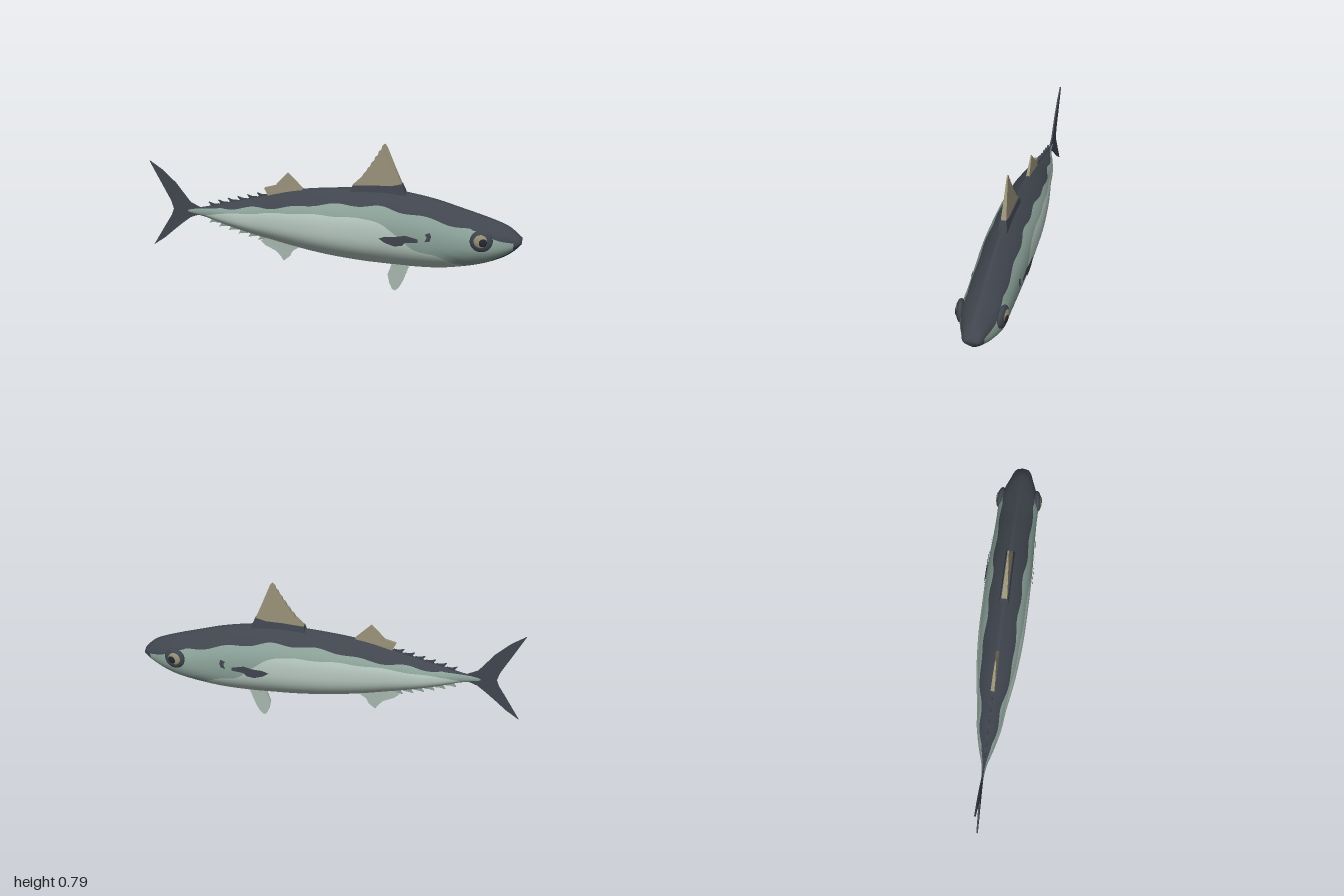
import * as THREE from 'three';

const mat = (name, color, side = THREE.FrontSide) =>
  Object.assign(new THREE.MeshStandardMaterial({ color, side }), { name });

// Body stations: x, back height, belly height, half width, back/flank edge, flank/belly edge
const STATIONS = [
  [-0.79, 0.355, 0.328, 0.004, 0.351, 0.332],
  [-0.70, 0.370, 0.315, 0.012, 0.362, 0.325],
  [-0.60, 0.398, 0.285, 0.040, 0.378, 0.350],
  [-0.50, 0.425, 0.258, 0.063, 0.392, 0.366],
  [-0.40, 0.452, 0.235, 0.074, 0.408, 0.380],
  [-0.30, 0.482, 0.215, 0.090, 0.420, 0.395],
  [-0.20, 0.508, 0.195, 0.104, 0.436, 0.408],
  [0.00, 0.537, 0.165, 0.120, 0.470, 0.420],
  [0.20, 0.553, 0.150, 0.123, 0.480, 0.420],
  [0.30, 0.556, 0.148, 0.123, 0.482, 0.408],
  [0.38, 0.552, 0.146, 0.122, 0.470, 0.350],
  [0.46, 0.542, 0.147, 0.119, 0.458, 0.285],
  [0.58, 0.520, 0.153, 0.114, 0.438, 0.255],
  [0.68, 0.493, 0.168, 0.111, 0.415, 0.200],
  [0.80, 0.460, 0.197, 0.108, 0.395, 0.212],
  [0.88, 0.435, 0.228, 0.086, 0.360, 0.245],
  [0.94, 0.410, 0.262, 0.062, 0.345, 0.278],
  [0.98, 0.378, 0.298, 0.048, 0.342, 0.312],
  [1.00, 0.358, 0.322, 0.034, 0.343, 0.330],
];
const spline = new THREE.CubicInterpolant(
  STATIONS.map(s => s[0]), STATIONS.flatMap(s => s.slice(1)), 5);

function station(x) {
  const [top, bottom, half, e1, e2] = spline.evaluate(x);
  const wave = x > -0.6 && x < 0.75 ? 0.005 * Math.sin(x * 27) : 0;
  const edge1 = THREE.MathUtils.clamp(e1 + wave, bottom + 0.008, top - 0.003);
  const edge2 = THREE.MathUtils.clamp(e2 - wave * 0.6, bottom + 0.003, edge1 - 0.003);
  return { top, bottom, half, edge1, edge2 };
}

// Half width of the body at a point of its side outline
function widthAt(x, y) {
  const s = station(x);
  const mid = s.bottom + 0.47 * (s.top - s.bottom);
  const u = y > mid ? (y - mid) / (s.top - mid) : (mid - y) / (mid - s.bottom);
  return s.half * Math.max(0, 1 - Math.pow(Math.min(u, 1), 2.6));
}

// Lofted body, with rows of faces following the colour bands
function makeBody(materials) {
  const COLS = 100, ROWS = [8, 6, 12];
  const half = ROWS[0] + ROWS[1] + ROWS[2], ring = half * 2;
  const position = [], bins = [[], [], []];
  const xs = [];
  for (let i = 0; i <= COLS; i++) {
    const x = -0.79 + 1.79 * i / COLS;
    xs.push(x);
    const s = station(x);
    const marks = [s.top, s.edge1, s.edge2, s.bottom];
    const ys = [s.top];
    ROWS.forEach((n, k) => {
      for (let r = 1; r <= n; r++) ys.push(THREE.MathUtils.lerp(marks[k], marks[k + 1], r / n));
    });
    for (let j = 0; j < ring; j++) {
      const y = ys[j <= half ? j : ring - j];
      position.push(x, y, widthAt(x, y) * (j <= half ? 1 : -1));
    }
  }
  for (let i = 0; i < COLS; i++) {
    for (let j = 0; j < ring; j++) {
      const row = j < half ? j : ring - 1 - j;
      let band = row < ROWS[0] ? 0 : row < ROWS[0] + ROWS[1] ? 1 : 2;
      if (xs[i] > 0.955 || (band === 2 && xs[i] > 0.84)) band = 0; // lips and chin
      else if (band === 2 && (xs[i] > 0.7 || xs[i] < -0.7)) band = 1;
      const a = i * ring + j, b = i * ring + (j + 1) % ring;
      bins[band].push(a, b, b + ring, a, b + ring, a + ring);
    }
  }
  // Blunt snout
  const tip = position.length / 3, last = COLS * ring;
  position.push(1, 0.34, 0);
  for (let j = 0; j < ring; j++) bins[0].push(tip, last + j, last + (j + 1) % ring);

  const geo = new THREE.BufferGeometry();
  geo.setAttribute('position', new THREE.Float32BufferAttribute(position, 3));
  geo.setIndex(bins.flat());
  let start = 0;
  bins.forEach((bin, k) => { geo.addGroup(start, bin.length, k); start += bin.length; });
  geo.computeVertexNormals();
  return new THREE.Mesh(geo, materials);
}

const shapeOf = pts => new THREE.Shape(pts.map(p => new THREE.Vector2(p[0], p[1])));

// Upright fin whose thickness goes from t0 at height y0 to t1 at height y1
function makeFin(name, pts, material, y0, t0, y1, t1) {
  const geo = new THREE.ExtrudeGeometry(shapeOf(pts), { depth: 1, bevelEnabled: false });
  const p = geo.attributes.position;
  for (let i = 0; i < p.count; i++) {
    const t = THREE.MathUtils.clamp((p.getY(i) - y0) / (y1 - y0), 0, 1);
    p.setZ(i, (p.getZ(i) - 0.5) * THREE.MathUtils.lerp(t0, t1, t));
  }
  geo.computeVertexNormals();
  const mesh = new THREE.Mesh(geo, material);
  mesh.name = name;
  return mesh;
}

// Thin plate laid on the flank
function makePatch(name, pts, material, side, lift) {
  const geo = new THREE.ShapeGeometry(shapeOf(pts));
  const p = geo.attributes.position;
  for (let i = 0; i < p.count; i++) p.setZ(i, side * (widthAt(p.getX(i), p.getY(i)) + lift));
  geo.computeVertexNormals();
  const mesh = new THREE.Mesh(geo, material);
  mesh.name = name;
  return mesh;
}

export function createModel() {
  const fish = new THREE.Group();
  fish.name = 'fish';
  const dark = mat('slate back', 0x40454e);
  const darkPlate = mat('slate fin', 0x40454e, THREE.DoubleSide);
  const flank = mat('grey green flank', 0x8aa198);
  const pale = mat('pale belly', 0xb6c7bf);
  const tan = mat('tan fin', 0x979078);
  const lowerFin = mat('pale fin', 0xa9bab2);
  const black = mat('black pupil', 0x24272c);

  const body = makeBody([dark, flank, pale]);
  body.name = 'body';
  fish.add(body);

  // Tail
  fish.add(makeFin('tailFin', [
    [-1, 0.605], [-0.92, 0.455], [-0.885, 0.39], [-0.872, 0.345], [-0.885, 0.31], [-0.92, 0.255],
    [-1, 0.125], [-0.93, 0.175], [-0.87, 0.228], [-0.82, 0.27], [-0.775, 0.305], [-0.71, 0.33],
    [-0.71, 0.36], [-0.775, 0.39], [-0.855, 0.492], [-0.93, 0.56],
  ], dark, 0, 0.008, 1, 0.008));

  // First dorsal fin with a ragged trailing edge
  const ragged = [];
  for (let i = 0; i <= 7; i++) {
    const t = i / 7;
    const x = 0.13 + 0.15 * Math.pow(t, 0.8), y = 0.565 + 0.215 * t;
    ragged.push([x, y], [x + 0.013, y + 0.012]);
  }
  fish.add(makeFin('firstDorsalFin',
    [[0.14, 0.53], [0.4, 0.53], [0.398, 0.56], [0.35, 0.67], [0.305, 0.78], ...ragged.reverse()],
    tan, 0.56, 0.03, 0.78, 0.006));
  fish.add(makeFin('firstDorsalBase',
    [[0.12, 0.53], [0.41, 0.53], [0.4, 0.56], [0.387, 0.59], [0.33, 0.575], [0.24, 0.572], [0.13, 0.562]],
    dark, 0.53, 0.05, 0.59, 0.03));

  // Second dorsal fin
  fish.add(makeFin('secondDorsalFin', [
    [-0.33, 0.465], [-0.14, 0.505], [-0.14, 0.52], [-0.18, 0.56], [-0.22, 0.6], [-0.25, 0.57],
    [-0.29, 0.525], [-0.35, 0.507], [-0.34, 0.487],
  ], tan, 0.5, 0.02, 0.6, 0.005));

  // Pelvic and anal fins
  fish.add(makeFin('pelvicFin', [
    [0.345, 0.17], [0.335, 0.13], [0.32, 0.09], [0.33, 0.04], [0.345, 0.008], [0.36, 0],
    [0.38, 0.018], [0.4, 0.055], [0.42, 0.11], [0.44, 0.17],
  ], lowerFin, 0, 0.004, 0.15, 0.014));
  fish.add(makeFin('analFin', [
    [-0.34, 0.23], [-0.375, 0.208], [-0.35, 0.185], [-0.29, 0.158], [-0.265, 0.13], [-0.25, 0.105],
    [-0.215, 0.135], [-0.2, 0.165], [-0.165, 0.19], [-0.17, 0.21],
  ], lowerFin, 0.1, 0.004, 0.2, 0.014));

  // Finlets along the tail stalk
  for (let i = 0; i < 6; i++) {
    const x = -0.66 + i * 0.055;
    const a = station(x), b = station(x + 0.05);
    fish.add(makeFin('upperFinlet',
      [[x, a.top - 0.012], [x + 0.05, b.top - 0.012], [x + 0.045, b.top], [x + 0.02, a.top + 0.012],
        [x - 0.008, a.top + 0.02], [x + 0.004, a.top + 0.004]], dark, 0, 0.01, 1, 0.01));
    fish.add(makeFin('lowerFinlet',
      [[x, a.bottom + 0.012], [x + 0.004, a.bottom - 0.004], [x - 0.008, a.bottom - 0.02],
        [x + 0.02, a.bottom - 0.014], [x + 0.045, b.bottom], [x + 0.05, b.bottom + 0.012]],
      flank, 0, 0.01, 1, 0.01));
  }

  // Paired details
  for (const side of [1, -1]) {
    fish.add(makePatch('pectoralFin', [
      [0.295, 0.33], [0.33, 0.343], [0.38, 0.346], [0.43, 0.357], [0.495, 0.342], [0.495, 0.325],
      [0.43, 0.318], [0.415, 0.3], [0.375, 0.294], [0.33, 0.308],
    ], darkPlate, side, 0.006));
    fish.add(makePatch('gillSpot', [
      [0.53, 0.33], [0.555, 0.335], [0.562, 0.36], [0.555, 0.38], [0.53, 0.37], [0.54, 0.355],
    ], darkPlate, side, 0.005));

    // Eye: nested flattened domes, turned slightly forward
    const eye = new THREE.Group();
    eye.name = side > 0 ? 'leftEye' : 'rightEye';
    const dome = (name, r, depth, x, y, z, m) => {
      const mesh = new THREE.Mesh(new THREE.SphereGeometry(r, 28, 18), m);
      mesh.name = name;
      mesh.scale.z = depth / r;
      mesh.position.set(x, y, side * z);
      eye.add(mesh);
    };
    dome('eyeSocket', 0.057, 0.022, 0, 0, 0, dark);
    dome('iris', 0.038, 0.014, -0.003, 0.003, 0.011, tan);
    dome('pupil', 0.024, 0.009, 0.004, 0, 0.018, black);
    eye.position.set(0.81, 0.355, side * 0.1);
    eye.rotation.y = side * 0.16;
    fish.add(eye);
  }
  return fish;
}
